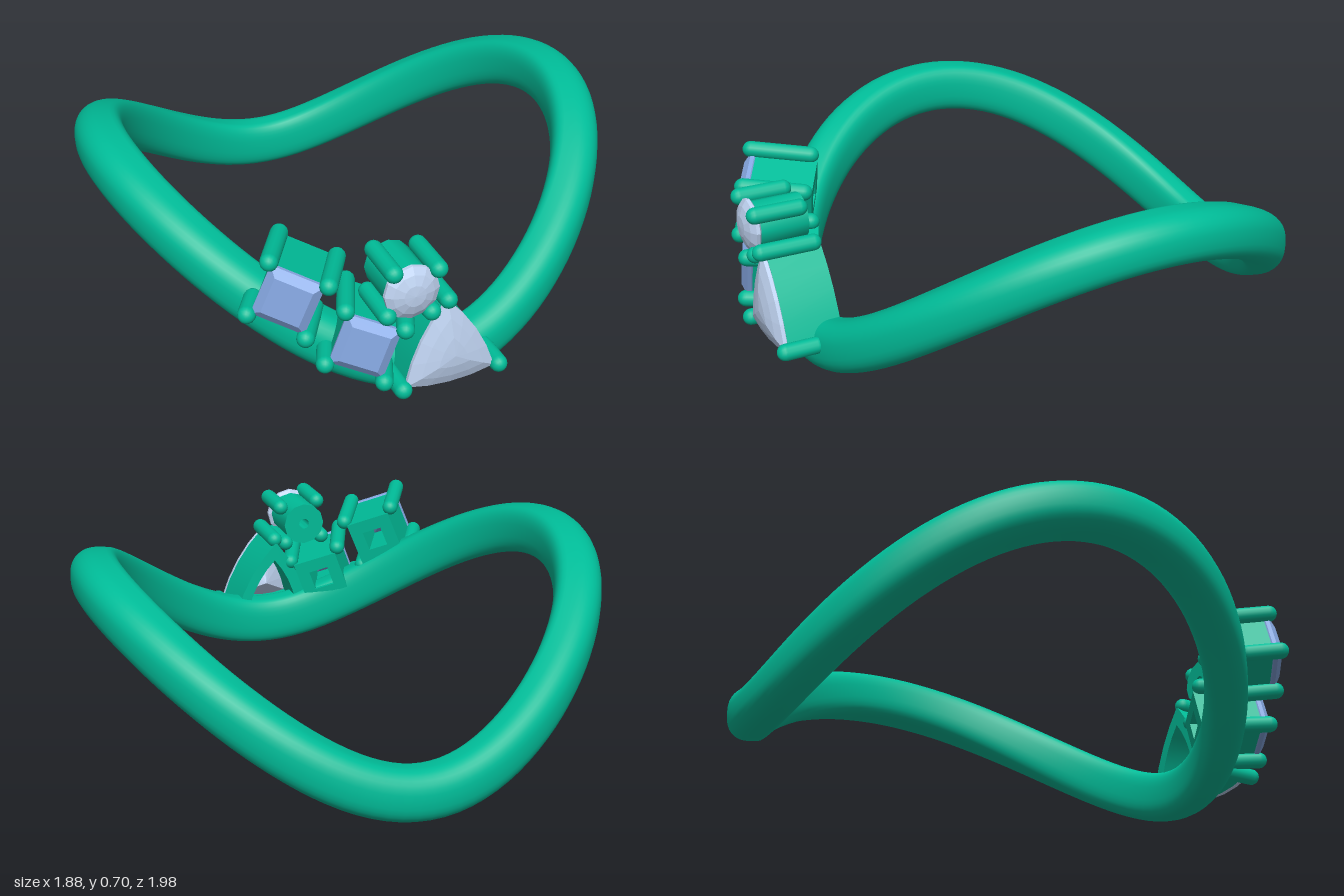
import * as THREE from 'three';
import { toCreasedNormals } from 'three/addons/utils/BufferGeometryUtils.js';

const metal = new THREE.MeshStandardMaterial({ color: 0x00bc98 });
const paleGem = new THREE.MeshStandardMaterial({ color: 0xc0d4f2, flatShading: true });
const blueGem = new THREE.MeshStandardMaterial({ color: 0x86a8e2, flatShading: true });
const deg = THREE.MathUtils.degToRad;

function mesh(name, geometry, material) {
  const m = new THREE.Mesh(geometry, material);
  m.name = name;
  return m;
}

// Centre line of the band: a circle from above, arched like a wide bow from the side
function bandCentre(t) {
  const R = 0.855, arch = 0.963, z = R * Math.cos(t);
  const round = arch - Math.sqrt(arch * arch - z * z);
  const drop = 0.7 * round + 0.3 * 0.52 * (z / R) ** 2;
  return new THREE.Vector3(R * Math.sin(t), 0.612 - drop, z - 0.07);
}

// Band with a domed outside and a flatter, sharper inside
function bandGeometry() {
  const N = 128, M = 32, pos = [], idx = [];
  const power = (v, e) => Math.sign(v) * Math.abs(v) ** e;
  for (let i = 0; i < N; i++) {
    const t = (i / N) * Math.PI * 2, s = Math.sin(t);
    const centre = bandCentre(t);
    const tangent = bandCentre(t + 0.001).sub(bandCentre(t - 0.001)).normalize();
    const out = new THREE.Vector3(s, 0, Math.cos(t));
    const side = tangent.clone().cross(out);
    const thick = 0.073 + 0.014 * s * s;
    for (let j = 0; j < M; j++) {
      const a = (j / M) * Math.PI * 2, ca = Math.cos(a);
      const p = centre.clone()
        .addScaledVector(out, thick * power(ca, ca > 0 ? 0.95 : 0.45))
        .addScaledVector(side, 0.092 * power(Math.sin(a), 0.8));
      pos.push(p.x, p.y, p.z);
      const i2 = (i + 1) % N, j2 = (j + 1) % M;
      const A = i * M + j, B = i * M + j2, C = i2 * M + j, D = i2 * M + j2;
      idx.push(A, B, C, B, D, C);
    }
  }
  const g = new THREE.BufferGeometry();
  g.setAttribute('position', new THREE.Float32BufferAttribute(pos, 3));
  g.setIndex(idx);
  g.computeVertexNormals();
  return g;
}

// Faceted stone: the outline is scaled through [scale, z] rings, back to front
function gemGeometry(outline, rings) {
  const pos = [], n = outline.length;
  const at = (k, j) => {
    const p = outline[j % n], [s, z] = rings[k];
    return [p.x * s, p.y * s, z];
  };
  for (let k = 0; k < rings.length - 1; k++) {
    for (let j = 0; j < n; j++) {
      const a = at(k, j), b = at(k, j + 1), c = at(k + 1, j), d = at(k + 1, j + 1);
      if (rings[k][0] > 0) pos.push(...a, ...b, ...c);
      if (rings[k + 1][0] > 0) pos.push(...b, ...d, ...c);
    }
  }
  const g = new THREE.BufferGeometry();
  g.setAttribute('position', new THREE.Float32BufferAttribute(pos, 3));
  g.computeVertexNormals();
  return g;
}

const scaled = (pts, s) => pts.map(p => p.clone().multiplyScalar(s));

// Hollow basket, stone and prongs, facing local +z with the stone's girdle at z = 0
function stoneSetting(o) {
  const group = new THREE.Group();
  group.name = o.name;
  const shape = new THREE.Shape(scaled(o.outline, o.wall));
  shape.holes.push(new THREE.Path(scaled(o.outline, o.hole).reverse()));
  const basket = new THREE.ExtrudeGeometry(shape, { depth: o.depth, bevelEnabled: false });
  basket.translate(0, 0, -o.depth - 0.012);
  group.add(mesh('basket', toCreasedNormals(basket, 0.6), metal));
  group.add(mesh('stone', gemGeometry(o.outline, o.rings), o.gem));
  for (const [x, y, length] of o.prongs) {
    const r = 0.03;
    const g = new THREE.CapsuleGeometry(r, length - 2 * r, 6, 14);
    g.rotateX(Math.PI / 2);
    g.translate(x, y, 0.035 - length / 2);
    group.add(mesh('prong', g, metal));
  }
  group.position.set(...o.at);
  group.rotation.set(deg(-(o.tilt ?? 0)), deg(o.yaw ?? 0), deg(o.roll ?? 0), 'YXZ');
  return group;
}

const polygon = (n, r, start = 0) => Array.from({ length: n }, (_, i) => {
  const a = start + (i / n) * Math.PI * 2;
  return new THREE.Vector2(r * Math.cos(a), r * Math.sin(a));
});

// Triangle with bowed sides
function bowedTriangle(corners, bulge, steps) {
  const pts = [];
  corners.forEach((p, i) => {
    const q = corners[(i + 1) % 3];
    const mid = p.clone().add(q).multiplyScalar(0.5);
    mid.addScaledVector(mid.clone().normalize(), bulge * 2);
    const curve = new THREE.QuadraticBezierCurve(p, mid, q);
    for (let k = 0; k < steps; k++) pts.push(curve.getPoint(k / steps));
  });
  return pts;
}

export function createModel() {
  const model = new THREE.Group();
  model.name = 'ring';
  model.add(mesh('band', bandGeometry(), metal));

  // Large three-sided stone at the middle of the front
  const corners = [[-0.02, 0.2], [-0.16, -0.1], [0.155, -0.09]].map(p => new THREE.Vector2(...p));
  model.add(stoneSetting({
    name: 'triangleStone', at: [-0.01, 0.225, 0.95], gem: paleGem,
    outline: bowedTriangle(corners, 0.022, 4), wall: 0.99, hole: 0.62, depth: 0.2,
    rings: [[0, -0.13], [1, -0.01], [1, 0.003], [0.7, 0.018], [0.35, 0.029], [0, 0.033]],
    prongs: [[-0.02, 0.205, 0.25], [-0.17, -0.105, 0.24], [0.17, -0.088, 0.17]],
  }));

  // Small round stone above it
  model.add(stoneSetting({
    name: 'roundStone', at: [-0.155, 0.485, 0.95], gem: paleGem,
    outline: polygon(12, 0.095), wall: 0.87, hole: 0.22, depth: 0.18,
    rings: [[0, -0.07], [1, -0.01], [1, 0.003], [0.75, 0.018], [0.4, 0.029], [0, 0.032]],
    prongs: [[-0.065, 0.083], [0.088, 0.068], [0.068, -0.085], [-0.085, -0.068]].map(p => [...p, 0.22]),
  }));

  // Two square stones stepping up along the band
  const places = [
    { at: [-0.295, 0.29, 0.91], yaw: -22, tilt: 5, roll: -19 },
    { at: [-0.52, 0.465, 0.82], yaw: -28, tilt: 6, roll: -21 },
  ];
  for (const place of places) {
    model.add(stoneSetting({
      ...place, name: 'squareStone', gem: blueGem,
      outline: polygon(4, 0.13, Math.PI / 4), wall: 0.96, hole: 0.42, depth: 0.23,
      rings: [[0, -0.11], [1, -0.012], [1, 0.002], [0.7, 0.024], [0, 0.024]],
      prongs: [[0.1, 0.1, 0.28], [-0.1, 0.1, 0.28], [-0.1, -0.1, 0.18], [0.1, -0.1, 0.28]],
    }));
  }
  return model;
}
